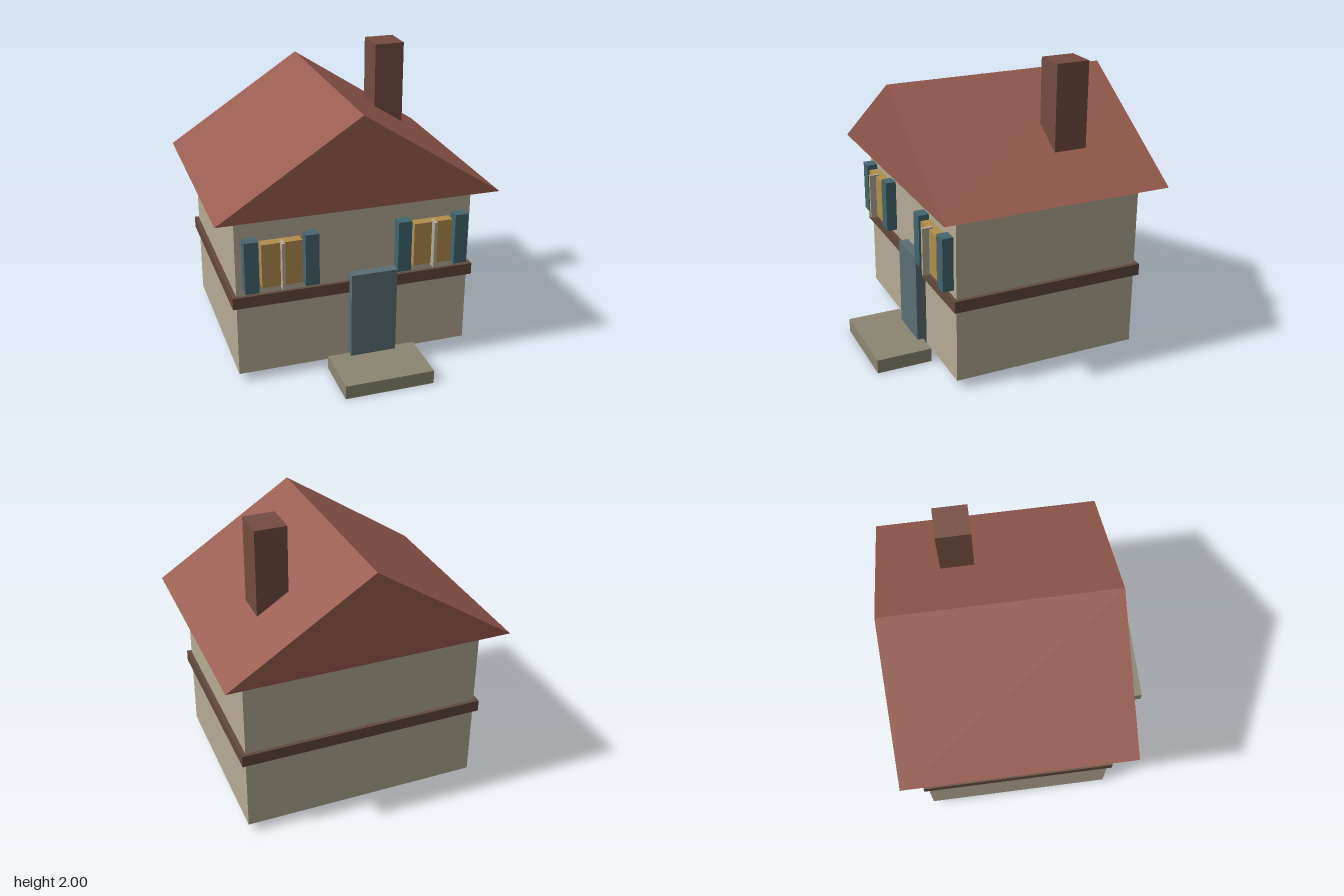
import * as THREE from 'three';

const paint = (color) => new THREE.MeshStandardMaterial({ color });

export function createModel() {
  const house = new THREE.Group();
  house.name = 'house';

  const wall = paint(0xb5ab95), roofRed = paint(0x985c4f), timber = paint(0x62493d);
  const brick = paint(0x754c41), doorBlue = paint(0x5b6e73), shutterBlue = paint(0x44666f);
  const glass = paint(0xb08d4c), stone = paint(0x8b8671);

  // Box given by its extents on each axis
  function block(name, material, [x0, x1], [y0, y1], [z0, z1], parent = house) {
    const mesh = new THREE.Mesh(new THREE.BoxGeometry(x1 - x0, y1 - y0, z1 - z0), material);
    mesh.position.set((x0 + x1) / 2, (y0 + y1) / 2, (z0 + z1) / 2);
    mesh.name = name;
    parent.add(mesh);
    return mesh;
  }

  // Body and the timber band around it
  block('walls', wall, [-0.802, 0.802], [0.06, 1.206], [-0.772, 0.508]);
  block('floorBand', timber, [-0.83, 0.83], [0.56, 0.64], [-0.797, 0.53]);

  // Solid gable roof
  const gable = new THREE.Shape([
    new THREE.Vector2(-0.943, 1.205),
    new THREE.Vector2(0.943, 1.205),
    new THREE.Vector2(0, 1.82),
  ]);
  const roof = new THREE.Mesh(
    new THREE.ExtrudeGeometry(gable, { depth: 1.547, bevelEnabled: false }), roofRed);
  roof.position.z = -0.907;
  roof.name = 'roof';
  house.add(roof);

  block('chimney', brick, [0.397, 0.604], [1.3, 2], [-0.484, -0.26]);

  // Entrance
  block('door', doorBlue, [-0.045, 0.272], [0.043, 0.702], [0.508, 0.574]);
  block('doorstep', stone, [-0.195, 0.418], [0, 0.095], [0.532, 0.91]);

  // Two front windows, each with a pane, a mullion and a pair of shutters
  for (const [side, x] of [['right', -0.511], ['left', 0.517]]) {
    const frame = new THREE.Group();
    frame.name = side + 'Window';
    frame.position.x = x;
    house.add(frame);
    block('pane', glass, [-0.133, 0.133], [0.713, 1.015], [0.508, 0.575], frame);
    block('mullion', wall, [-0.011, 0.011], [0.702, 1.026], [0.55, 0.62], frame);
    for (const s of [-1, 1]) {
      block('shutter', shutterBlue, [s * 0.199 - 0.046, s * 0.199 + 0.046],
        [0.685, 1.043], [0.508, 0.581], frame);
    }
  }
  return house;
}
